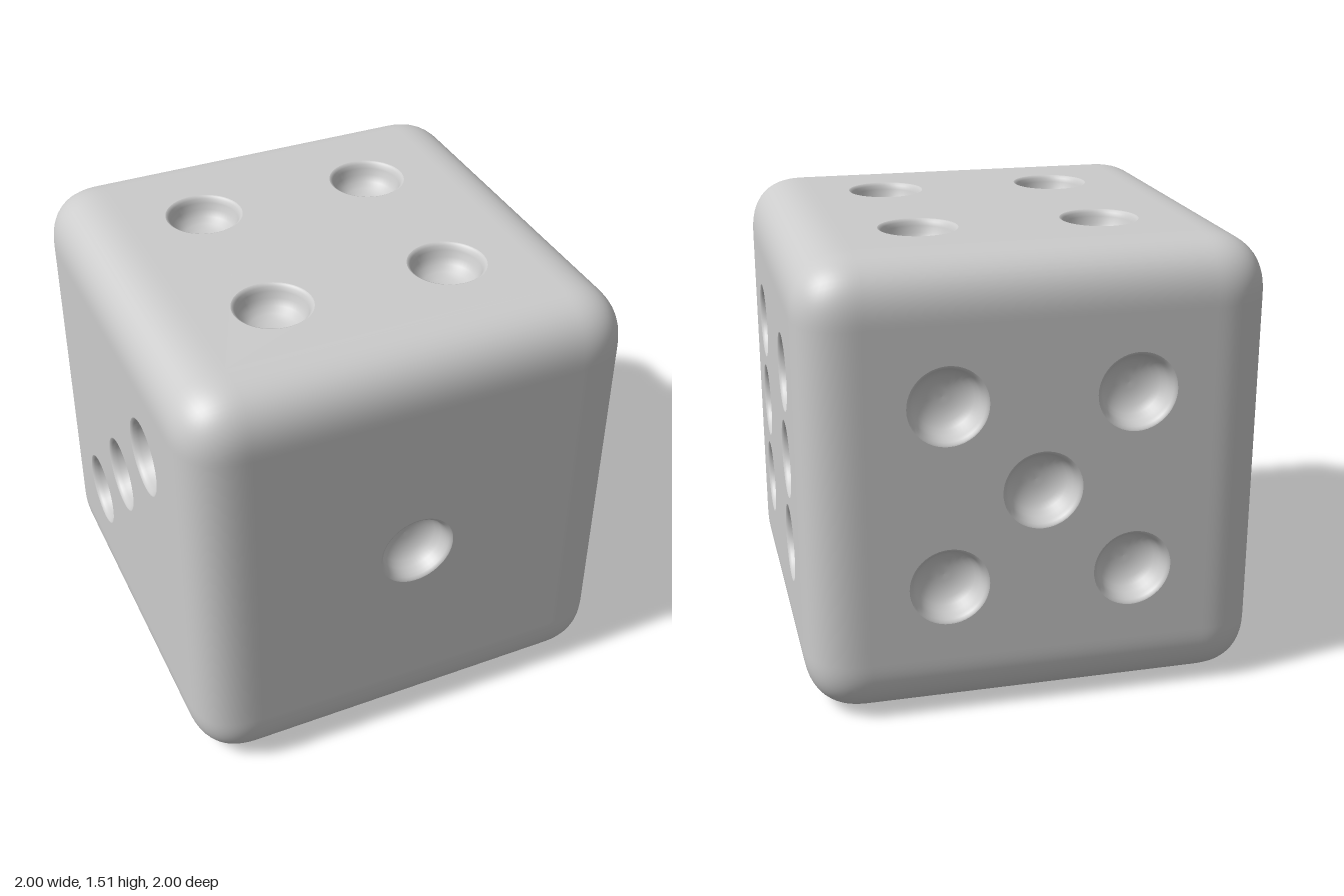
import * as THREE from 'three';

const HALF = 0.755;          // half the side of the cube
const ROUND = 0.2;           // width of the rounded border
const POWER = 2.5;           // softness of the rounding
const FLAT = HALF - ROUND;   // half the side of the flat middle of a face
const STEPS = 8;             // divisions across half a rounded edge
const PIP_R = 0.13;
const S = 0.302;             // spacing of the pips

const material = new THREE.MeshStandardMaterial({ color: 0xcccccc });

// Rounded edges and corners; the flat middle of each side is left open
function roundedShell() {
  const n = 2 * STEPS + 1;
  const geo = new THREE.BoxGeometry(n, n, n, n, n, n);
  const pos = geo.attributes.position, nor = geo.attributes.normal;
  for (let i = 0; i < pos.count; i++) {
    const v = [pos.getX(i), pos.getY(i), pos.getZ(i)];
    const off = v.map(c => Math.tan((Math.abs(c) - 0.5) / STEPS * Math.PI / 4));
    const len = off.reduce((sum, o) => sum + Math.abs(o) ** POWER, 0) ** (1 / POWER);
    pos.setXYZ(i, ...v.map((c, k) => Math.sign(c) * (FLAT + ROUND * off[k] / len)));
    const g = new THREE.Vector3(...v.map((c, k) => Math.sign(c) * Math.abs(off[k]) ** (POWER - 1)));
    g.normalize();
    nor.setXYZ(i, g.x, g.y, g.z);
  }
  const perSide = n * n * 6, middle = (STEPS * n + STEPS) * 6;
  const kept = Array.from(geo.index.array).filter((_, i) => {
    const k = i % perSide;
    return k < middle || k >= middle + 6;
  });
  geo.setIndex(kept);
  return geo;
}

// Bowl of a pip, from its soft rim down to the centre, opening towards +z
function pipBowl() {
  const profile = [
    [PIP_R, 0], [0.125, -0.002], [0.119, -0.009], [0.114, -0.022], [0.108, -0.044],
    [0.096, -0.066], [0.076, -0.082], [0.05, -0.092], [0.025, -0.096], [0, -0.097],
  ].map(([x, y]) => new THREE.Vector2(x, y));
  return new THREE.LatheGeometry(profile, 48).rotateX(Math.PI / 2);
}

// Flat square pierced by round holes for the pips
function facePanel(pips) {
  const shape = new THREE.Shape();
  shape.moveTo(-FLAT, -FLAT).lineTo(FLAT, -FLAT).lineTo(FLAT, FLAT).lineTo(-FLAT, FLAT).closePath();
  for (const [x, y] of pips) {
    shape.holes.push(new THREE.Path().absarc(x, y, PIP_R, 0, Math.PI * 2, true));
  }
  return new THREE.ShapeGeometry(shape, 24);
}

export function createModel() {
  const model = new THREE.Group();
  model.name = 'die';
  const cube = new THREE.Group();
  cube.name = 'cube';
  cube.position.y = HALF;
  cube.rotation.y = Math.PI / 4;
  model.add(cube);

  const shell = new THREE.Mesh(roundedShell(), material);
  shell.name = 'roundedEdges';
  cube.add(shell);

  const rising = [[-S, -S], [S, S]], falling = [[-S, S], [S, -S]], centre = [[0, 0]];
  const four = [...rising, ...falling];
  const q = Math.PI / 2;
  // name, rotation about x, rotation about y, pip centres
  const faces = [
    ['oneFace', 0, 0, centre],
    ['twoFace', q, 0, falling],
    ['threeFace', 0, -q, [...rising, ...centre]],
    ['fourFace', -q, 0, four],
    ['fiveFace', 0, 2 * q, [...four, ...centre]],
    ['sixFace', 0, q, [...four, [-S, 0], [S, 0]]],
  ];
  const bowl = pipBowl();
  for (const [name, rx, ry, pips] of faces) {
    const face = new THREE.Group();
    face.name = name;
    face.rotation.set(rx, ry, 0);
    const panel = new THREE.Mesh(facePanel(pips), material);
    panel.name = 'panel';
    panel.position.z = HALF;
    face.add(panel);
    for (const [x, y] of pips) {
      const pip = new THREE.Mesh(bowl, material);
      pip.name = 'pip';
      pip.position.set(x, y, HALF);
      face.add(pip);
    }
    cube.add(face);
  }
  return model;
}
